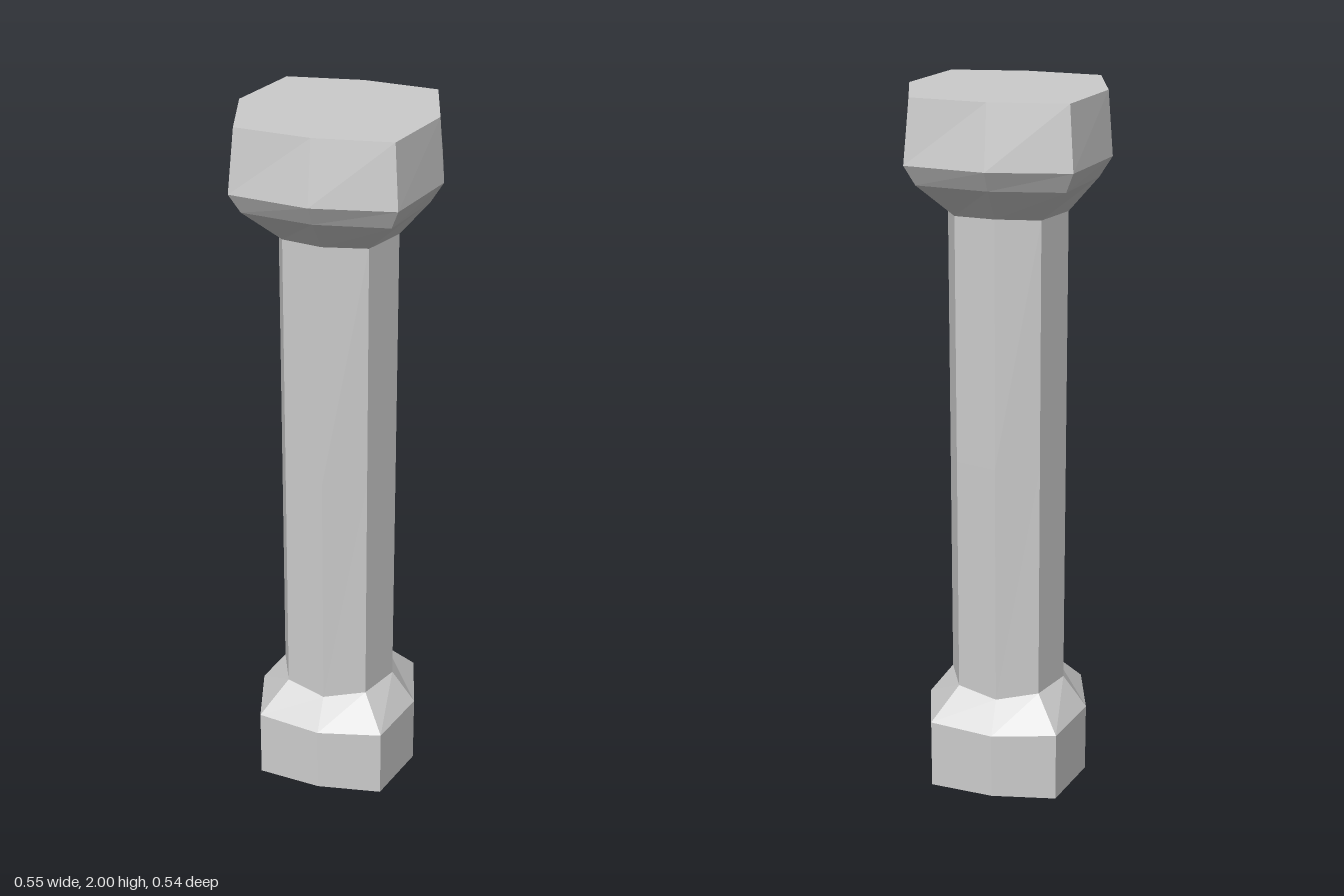
import * as THREE from 'three';

// Eight-point ring: height, mid-side reach in x and z, corner position in x and z
function ring([y, mx, mz, cx, cz, yFront = y]) {
  return [
    [0, yFront, mz], [cx, y, cz], [mx, y, 0], [cx, y, -cz],
    [0, yFront, -mz], [-cx, y, -cz], [-mx, y, 0], [-cx, y, cz],
  ];
}

// Skins stacked rings from bottom to top, with optional centre points closing the ends
function loft(name, sections, { bottom, top } = {}) {
  const rings = sections.map(ring);
  const pos = [];
  const tri = (...points) => points.forEach((p) => pos.push(...p));
  const first = rings[0];
  const last = rings[rings.length - 1];
  for (let i = 0; i < 8; i++) {
    const j = (i + 1) % 8;
    for (let k = 0; k < rings.length - 1; k++) {
      const [a, b, c, d] = [rings[k][i], rings[k][j], rings[k + 1][j], rings[k + 1][i]];
      tri(a, b, c);
      tri(a, c, d);
    }
    if (bottom !== undefined) tri([0, bottom, 0], first[j], first[i]);
    if (top !== undefined) tri([0, top, 0], last[i], last[j]);
  }
  const geometry = new THREE.BufferGeometry();
  geometry.setAttribute('position', new THREE.Float32BufferAttribute(pos, 3));
  geometry.computeVertexNormals();
  const material = new THREE.MeshStandardMaterial({ color: 0xcccccc, flatShading: true });
  const mesh = new THREE.Mesh(geometry, material);
  mesh.name = name;
  return mesh;
}

export function createModel() {
  const group = new THREE.Group();
  group.name = 'column';

  // Rings shared by the shaft and its ends
  const shaftFoot = [0.32, 0.163, 0.155, 0.115, 0.12, 0.305];
  const shaftHead = [1.68, 0.163, 0.155, 0.115, 0.12, 1.685];

  // Base block with a shallow pointed underside and sloped shoulder
  group.add(loft('base', [
    [0.03, 0.23, 0.215, 0.18, 0.19],
    [0.23, 0.23, 0.215, 0.18, 0.19, 0.22],
    shaftFoot,
  ], { bottom: 0 }));

  // Shaft, very slightly swollen at mid height
  group.add(loft('shaft', [
    shaftFoot,
    [1, 0.163, 0.16, 0.115, 0.12],
    shaftHead,
  ]));

  // Capital flaring out in two steps, then tapering to a flat top
  group.add(loft('capital', [
    shaftHead,
    [1.775, 0.243, 0.235, 0.195, 0.205],
    [1.83, 0.277, 0.27, 0.218, 0.233],
    [2, 0.263, 0.243, 0.205, 0.218],
  ], { top: 2 }));

  return group;
}
